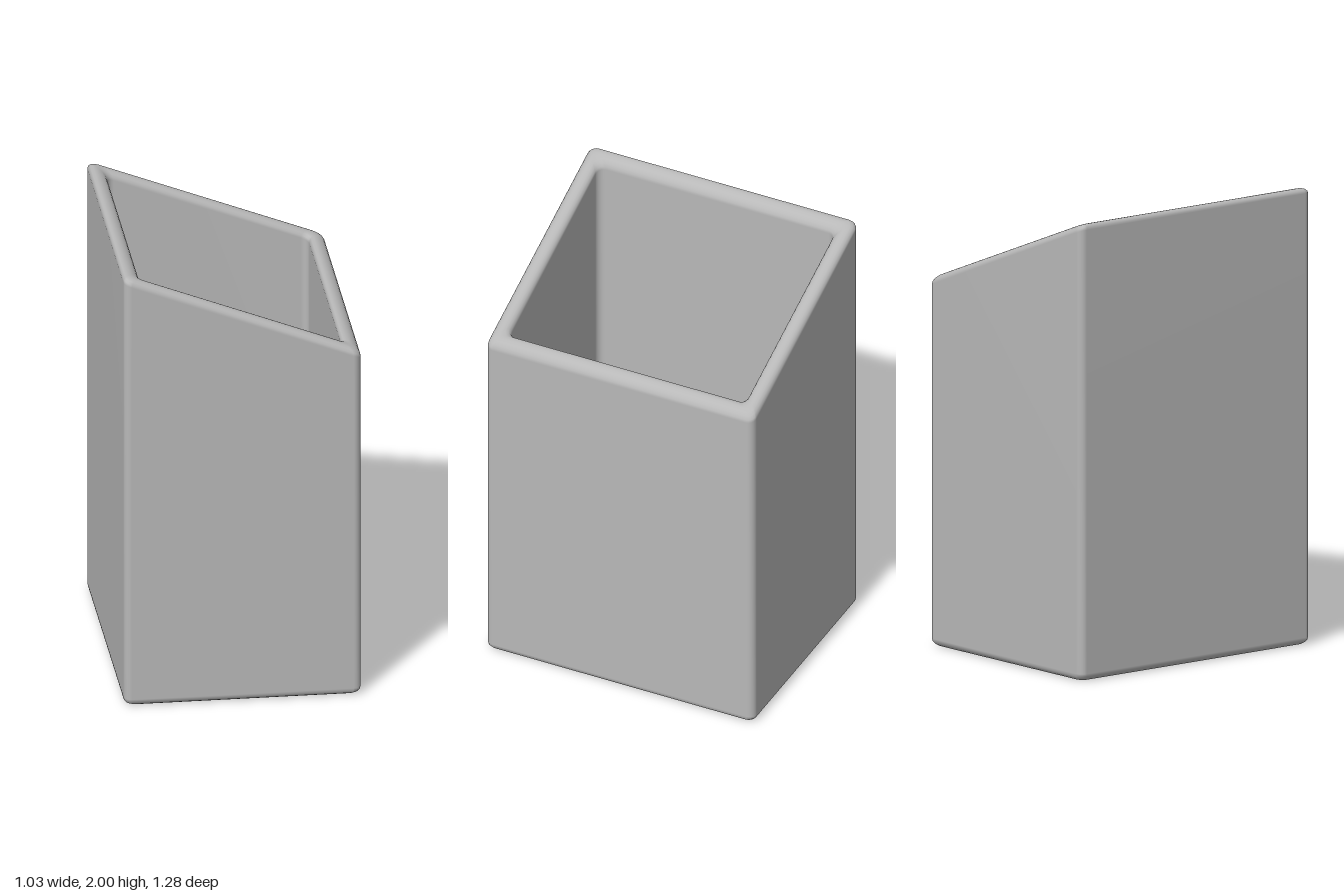
import * as THREE from 'three';

const HX = 0.513, HZ = 0.641, WALL = 0.076, BEVEL = 0.033, FLOOR = 0.076;
const CORNER = 5, STEPS = 4;

// Sloping plane of the open mouth
const mouth = (x) => 1.811 - 0.39 * x;

// One rounded rectangle, shrunk by inset, at height y(x)
function ring(inset, yAt) {
  const hx = HX - inset, hz = HZ - inset, r = 0.033, pts = [];
  [[1, 1], [-1, 1], [-1, -1], [1, -1]].forEach(([sx, sz], q) => {
    for (let i = 0; i <= CORNER; i++) {
      const a = (q + i / CORNER) * Math.PI / 2;
      const x = sx * (hx - r) + r * Math.cos(a), z = sz * (hz - r) + r * Math.sin(a);
      pts.push([x, yAt(x), z]);
    }
  });
  return pts;
}

function containerGeometry() {
  const rings = [];
  // Quarter-round edge: calls add(1 - cos, 1 - sin) along the arc
  const arc = (add) => {
    for (let i = 0; i <= STEPS; i++) {
      const a = (i / STEPS) * Math.PI / 2;
      add(BEVEL * (1 - Math.cos(a)), BEVEL * (1 - Math.sin(a)));
    }
  };
  // Rounded foot, rounded rim outside and inside, rounded inner floor
  arc((c, s) => rings.push(ring(s, () => c)));
  arc((c, s) => rings.push(ring(c, (x) => mouth(x) - s)));
  arc((c, s) => rings.push(ring(WALL - s, (x) => mouth(x) - c)));
  arc((c, s) => rings.push(ring(WALL + c, () => FLOOR + s)));

  const n = rings[0].length, pos = rings.flat(2), index = [];
  for (let k = 0; k < rings.length - 1; k++) {
    for (let j = 0; j < n; j++) {
      const a = k * n + j, b = k * n + (j + 1) % n;
      index.push(a, a + n, b + n, a, b + n, b);
    }
  }
  // Underside and inner floor fans
  const base = rings.length * n, last = base - n;
  pos.push(0, 0, 0, 0, FLOOR, 0);
  for (let j = 0; j < n; j++) {
    const m = (j + 1) % n;
    index.push(base, j, m, base + 1, last + m, last + j);
  }
  const g = new THREE.BufferGeometry();
  g.setAttribute('position', new THREE.Float32BufferAttribute(pos, 3));
  g.setIndex(index);
  g.computeVertexNormals();
  return g;
}

export function createModel() {
  const grey = new THREE.MeshStandardMaterial({ color: 0xb8b8b8 });
  grey.name = 'plain grey';
  const container = new THREE.Mesh(containerGeometry(), grey);
  container.name = 'slantedContainer';
  const model = new THREE.Group();
  model.name = 'slantTopContainer';
  model.add(container);
  return model;
}
